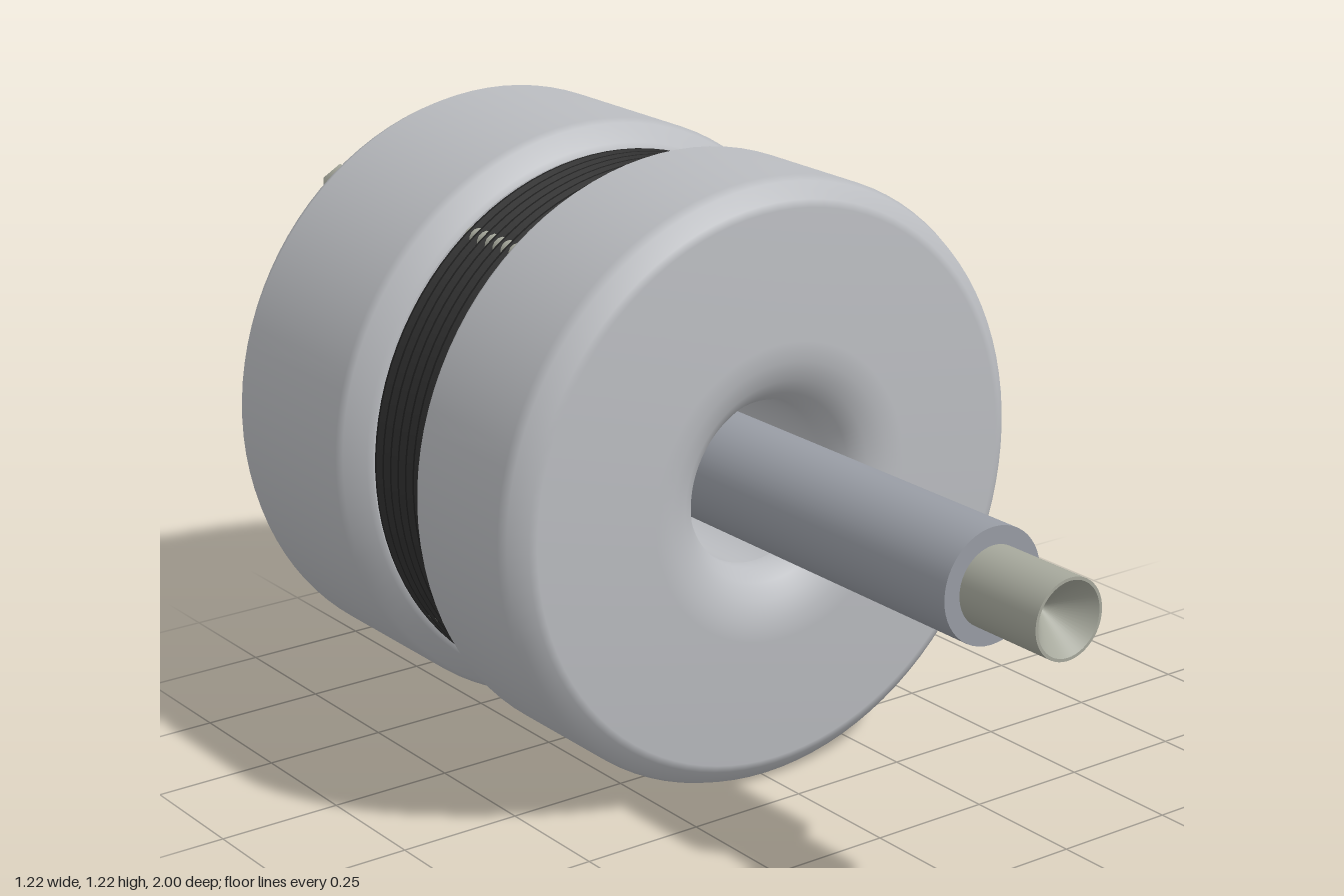
import * as THREE from 'three';

const mat = (color) => new THREE.MeshStandardMaterial({ color });
const shellMat = mat(0xbabcc0);
const shaftMat = mat(0x989ca4);
const steelMat = mat(0xa6a89c);
const blackMat = mat(0x222222);
const screwMat = mat(0x3a3c40);
const brassMat = mat(0xb98a30);

export function createModel() {
  const model = new THREE.Group();
  model.name = 'motor';
  const body = new THREE.Group();
  body.name = 'motorBody';
  body.position.y = 0.608;
  model.add(body);

  const add = (name, geometry, material, x = 0, y = 0, z = 0) => {
    const mesh = new THREE.Mesh(geometry, material);
    mesh.name = name;
    mesh.position.set(x, y, z);
    body.add(mesh);
    return mesh;
  };

  // Revolve [radius, z] points around the z axis; a repeated point makes a sharp edge.
  const revolve = (points, segments = 96) =>
    new THREE.LatheGeometry(points.map(([r, z]) => new THREE.Vector2(r, z)), segments).rotateX(Math.PI / 2);

  // Cylinder along z between two depths
  const rod = (radius, z0, z1, sides = 20) =>
    new THREE.CylinderGeometry(radius, radius, Math.abs(z1 - z0), sides)
      .rotateX(Math.PI / 2).translate(0, 0, (z0 + z1) / 2);

  // Front housing with a dished mouth around the shaft
  add('frontHousing', revolve([
    [0.165, -0.2], [0.165, -0.2], [0.555, -0.2], [0.555, -0.2], [0.567, -0.195],
    [0.6, -0.16], [0.608, -0.145], [0.608, 0.125], [0.6, 0.145],
    [0.57, 0.172], [0.555, 0.177], [0.3, 0.193], [0.26, 0.19], [0.22, 0.178],
    [0.19, 0.155], [0.168, 0.12], [0.165, 0.1], [0.165, 0.1], [0.165, -0.2],
  ]), shellMat);

  // Rear housing with a flat back and a central bore
  add('rearHousing', revolve([
    [0.15, -0.87], [0.15, -0.87], [0.555, -0.87], [0.573, -0.865], [0.6, -0.825],
    [0.608, -0.805], [0.608, -0.445], [0.6, -0.43], [0.567, -0.395],
    [0.555, -0.39], [0.555, -0.39], [0.15, -0.39], [0.15, -0.39], [0.15, -0.87],
  ]), shellMat);

  // Laminated core: a stack of sharp-edged rings
  const core = [[0.16, -0.39], [0.16, -0.39], [0.54, -0.39], [0.54, -0.39]];
  const rings = 7, pitch = 0.19 / rings;
  for (let i = 0; i < rings; i++) {
    const z = -0.39 + i * pitch;
    for (const p of [[0.535, z + 0.004], [0.558, z + pitch * 0.4], [0.558, z + pitch * 0.6], [0.535, z + pitch - 0.004]])
      core.push(p, p);
  }
  core.push([0.54, -0.2], [0.54, -0.2], [0.16, -0.2], [0.16, -0.2], [0.16, -0.39]);
  add('laminatedCore', revolve(core), blackMat);

  // Through bolts: rods showing in the core grooves, hex heads on the back
  const boltAngle = Math.atan2(0.31, 0.43);
  for (let i = 0; i < 4; i++) {
    const a = boltAngle + i * Math.PI / 2;
    const x = 0.53 * Math.cos(a), y = 0.53 * Math.sin(a);
    add('boltRod', rod(0.024, -0.4, -0.19, 16), steelMat, x, y);
    add('boltHead', rod(0.046, -0.89, -0.865, 6), steelMat, x, y);
  }

  // Shaft with a thinner tip that has a hollow conical end
  add('shaft', rod(0.113, -0.88, 0.8, 48), shaftMat);
  add('shaftTip', revolve([
    [0.078, 0.78], [0.078, 1], [0.078, 1], [0.072, 1], [0.072, 1], [0, 0.92],
  ], 48), steelMat);

  // Two mounting plates in the form of ring sectors
  const sector = new THREE.Shape();
  const a0 = Math.PI / 6, a1 = Math.PI - a0;
  sector.absarc(0, 0, 0.362, a0, a1, false);
  sector.absarc(0, 0, 0.2, a1, a0, true);
  sector.closePath();
  const plate = new THREE.ExtrudeGeometry(sector, { depth: 0.04, bevelEnabled: false, curveSegments: 32 });
  for (const side of [0, 1]) {
    add('mountingPlate', plate, steelMat, 0, 0, -0.925).rotation.z = side * Math.PI;
    for (const offset of [-0.64, 0, 0.64]) {
      const a = Math.PI / 2 + offset + side * Math.PI;
      add('plateScrew', rod(0.027, -0.968, -0.88), screwMat, 0.27 * Math.cos(a), 0.27 * Math.sin(a));
    }
  }

  // Brass terminals on the lower plate
  for (const x of [-0.2, 0.2]) {
    add('terminalPin', rod(0.016, -0.962, -0.865), brassMat, x, -0.28);
    add('terminalHead', rod(0.028, -0.955, -0.928), brassMat, x, -0.28);
  }

  // Connector block on the back
  add('connectorBlock', new THREE.BoxGeometry(0.25, 0.275, 0.125), blackMat, 0, 0, -0.9375);

  // Small brass key in the rear housing wall
  add('sideKey', new THREE.BoxGeometry(0.03, 0.014, 0.095), brassMat, 0.57, -0.2, -0.725);

  return model;
}
